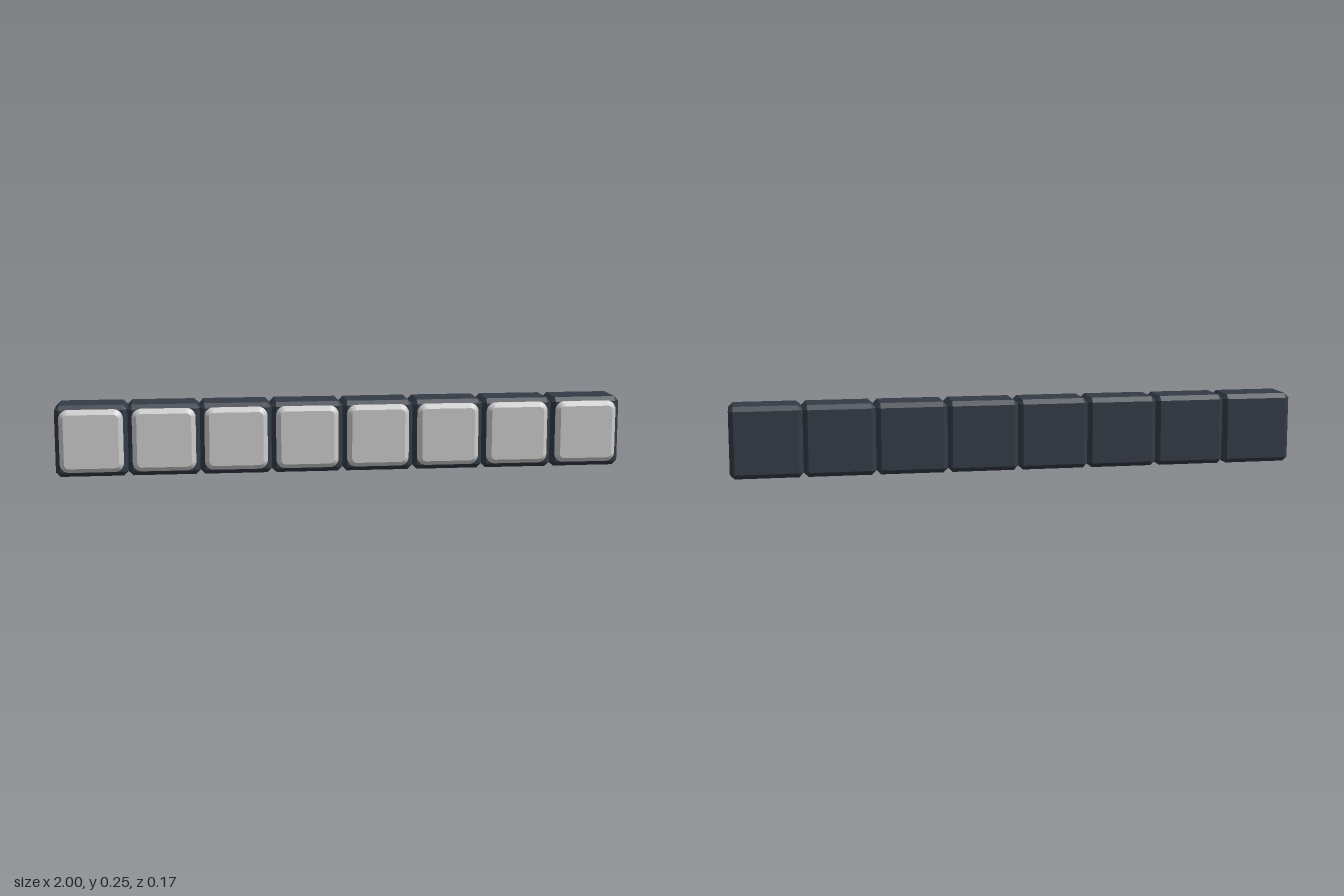
import * as THREE from 'three';
import { ConvexGeometry } from 'three/addons/geometries/ConvexGeometry.js';

const COUNT = 8, PITCH = 0.25, BEVEL = 0.016;
const BACK = -0.087, BODY_FRONT = 0.068, CAP_FRONT = 0.087;

// Box with every edge and corner chamfered
function chamferedBox(w, h, d, c) {
  const points = [];
  for (const sx of [-1, 1]) for (const sy of [-1, 1]) for (const sz of [-1, 1]) {
    for (let axis = 0; axis < 3; axis++) {
      const inset = [c, c, c];
      inset[axis] = 0;
      points.push(new THREE.Vector3(
        sx * (w / 2 - inset[0]), sy * (h / 2 - inset[1]), sz * (d / 2 - inset[2])));
    }
  }
  return new ConvexGeometry(points);
}

// Rounded square slab with a single bevel on both ends
function bevelledCap(size, radius, back, front) {
  const s = size / 2, k = s - radius;
  const shape = new THREE.Shape();
  shape.moveTo(-k, -s);
  shape.absarc(k, -k, radius, -Math.PI / 2, 0);
  shape.absarc(k, k, radius, 0, Math.PI / 2);
  shape.absarc(-k, k, radius, Math.PI / 2, Math.PI);
  shape.absarc(-k, -k, radius, Math.PI, Math.PI * 1.5);
  const geometry = new THREE.ExtrudeGeometry(shape, {
    depth: front - back - 2 * BEVEL, curveSegments: 4,
    bevelEnabled: true, bevelSize: BEVEL, bevelThickness: BEVEL, bevelSegments: 1,
  });
  return geometry.translate(0, 0, back + BEVEL);
}

export function createModel() {
  const group = new THREE.Group();
  group.name = 'blockRow';
  const dark = new THREE.MeshStandardMaterial({ color: 0x333b45 });
  const light = new THREE.MeshStandardMaterial({ color: 0xcccccc });

  const bodyGeometry = chamferedBox(PITCH, PITCH, BODY_FRONT - BACK, BEVEL);
  // The cap runs through the body and stops just inside its back face
  const capGeometry = bevelledCap(0.188, 0.016, BACK + 0.001, CAP_FRONT);

  for (let i = 0; i < COUNT; i++) {
    const block = new THREE.Group();
    block.name = `block${i + 1}`;
    block.position.set((i - (COUNT - 1) / 2) * PITCH, PITCH / 2, 0);

    const body = new THREE.Mesh(bodyGeometry, dark);
    body.name = 'body';
    body.position.z = (BODY_FRONT + BACK) / 2;

    const cap = new THREE.Mesh(capGeometry, light);
    cap.name = 'frontCap';
    cap.position.y = 0.002;

    block.add(body, cap);
    group.add(block);
  }
  return group;
}
